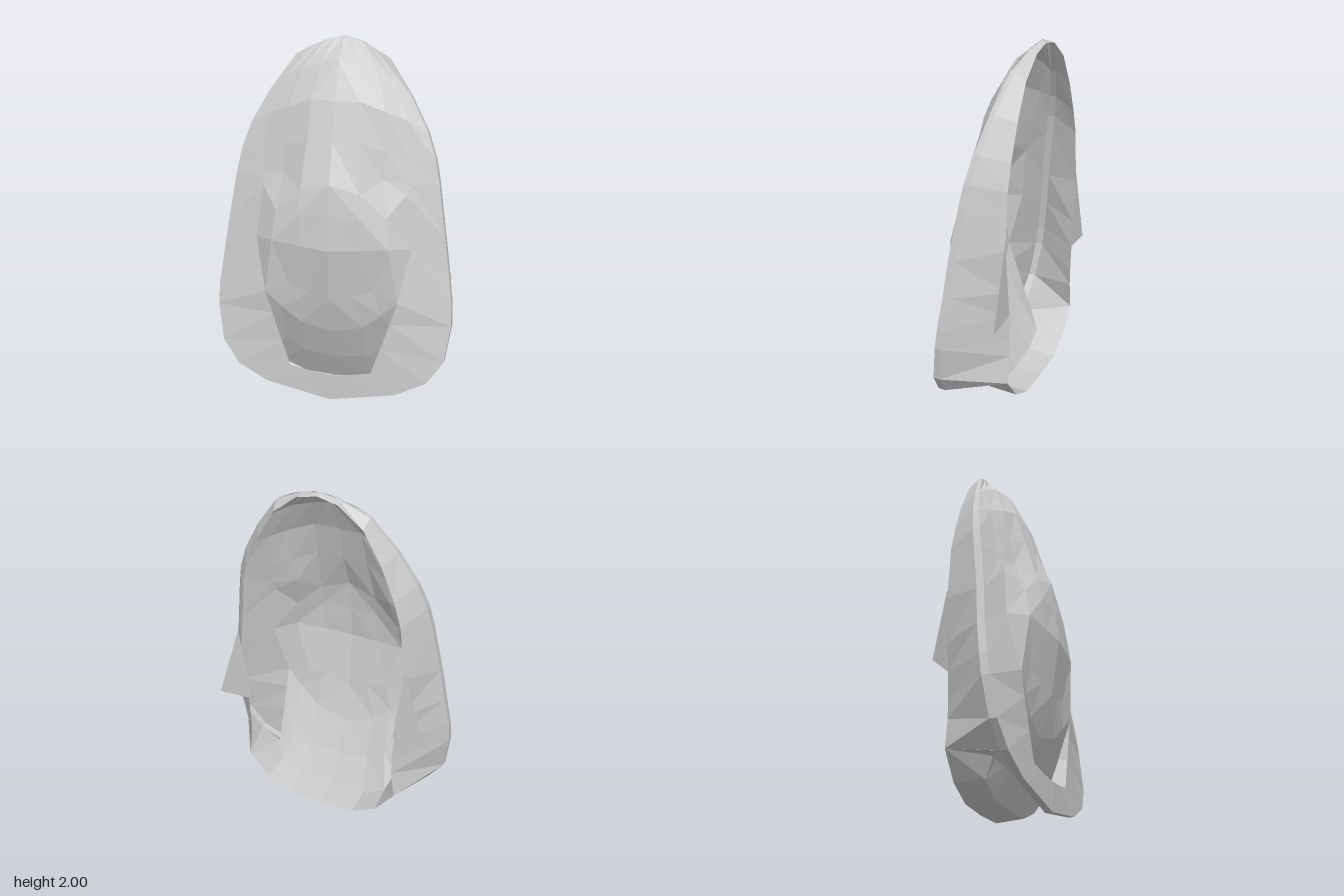
import * as THREE from 'three';

// Builds a mirrored sheet from cross-sections; each row lists x, y, z points of the +x half.
function sheet(rows) {
  const pos = [];
  const tri = (a, b, c) => {
    const [A, B, C] = [a, b, c].map(p => new THREE.Vector3(...p));
    if (B.clone().sub(A).cross(C.clone().sub(A)).length() < 1e-6) return;
    pos.push(...a, ...b, ...c);
    const m = p => [-p[0], p[1], p[2]];
    pos.push(...m(a), ...m(c), ...m(b));
  };
  for (let i = 0; i < rows.length - 1; i++) {
    for (let j = 0; j < rows[i].length - 1; j++) {
      const a = rows[i][j], b = rows[i + 1][j], c = rows[i + 1][j + 1], d = rows[i][j + 1];
      tri(a, b, c);
      tri(a, c, d);
    }
  }
  const g = new THREE.BufferGeometry();
  g.setAttribute('position', new THREE.Float32BufferAttribute(pos, 3));
  g.computeVertexNormals();
  return g;
}

export function createModel() {
  const group = new THREE.Group();
  const grey = new THREE.MeshStandardMaterial({ color: 0xcccccc, flatShading: true, side: THREE.DoubleSide });
  grey.name = 'plain grey';
  const add = (name, rows) => {
    const mesh = new THREE.Mesh(sheet(rows), grey);
    mesh.name = name;
    group.add(mesh);
  };

  // Forehead, cheeks and muzzle, from the crown down to the lip
  const lip = [[0, 0.62, 0.17], [0.12, 0.65, 0.16], [0.24, 0.69, 0.15], [0.37, 0.63, 0.15]];
  add('face', [
    [[0, 2, -0.19], [0.05, 1.99, -0.18], [0.1, 1.975, -0.17], [0.17, 1.945, -0.155], [0.25, 1.9, -0.14]],
    [[0, 1.89, -0.06], [0.1, 1.87, -0.07], [0.2, 1.84, -0.08], [0.29, 1.79, -0.09], [0.38, 1.72, -0.09]],
    [[0, 1.7, 0.03], [0.13, 1.7, 0.02], [0.26, 1.65, 0], [0.37, 1.6, -0.03], [0.48, 1.54, -0.05]],
    [[0, 1.5, 0.09], [0.14, 1.5, 0.08], [0.27, 1.45, 0.04], [0.4, 1.4, 0.01], [0.53, 1.4, -0.02]],
    [[0, 1.29, 0.18], [0.16, 1.24, 0.16], [0.27, 1.3, 0.07], [0.41, 1.27, 0.04], [0.555, 1.28, 0]],
    [[0, 1.12, 0.2], [0.16, 1.12, 0.19], [0.3, 1.11, 0.14], [0.39, 1.22, 0.06], [0.6, 1, 0.04]],
    [[0, 0.93, 0.22], [0.16, 0.94, 0.2], [0.32, 0.95, 0.175], [0.43, 0.93, 0.09], [0.63, 0.8, 0.06]],
    [...lip, [0.655, 0.62, 0.085]],
  ]);

  // Frame around the mouth opening
  add('jawFrame', [
    [[0.37, 0.63, 0.15], [0.655, 0.62, 0.085]],
    [[0.33, 0.5, 0.15], [0.66, 0.5, 0.1]],
    [[0.28, 0.34, 0.155], [0.63, 0.29, 0.13]],
    [[0.23, 0.19, 0.16], [0.54, 0.16, 0.15]],
    [[0.12, 0.17, 0.165], [0.37, 0.07, 0.16]],
    [[0, 0.16, 0.17], [0, 0, 0.17]],
  ]);

  // Recessed chin that runs back under the lip and ends in a floor
  add('chin', [
    lip,
    [[0, 0.4, 0.11], [0.18, 0.45, 0.12], [0.28, 0.54, 0.135], [0.37, 0.63, 0.15]],
    [[0, 0.2, 0.03], [0.18, 0.23, 0.035], [0.29, 0.3, 0.04], [0.37, 0.36, 0.06]],
    [[0, 0.025, -0.06], [0.2, 0.04, -0.06], [0.33, 0.1, -0.055], [0.37, 0.2, 0]],
    [[0, 0.02, -0.22], [0.2, 0.03, -0.22], [0.34, 0.1, -0.22], [0.45, 0.24, -0.22]],
  ]);

  // Side walls: front edge, bevel edge and back rim at each station
  const edge = [
    [0, 2, -0.19], [0.1, 1.975, -0.17], [0.25, 1.9, -0.14], [0.38, 1.72, -0.09], [0.48, 1.54, -0.05],
    [0.53, 1.4, -0.02], [0.555, 1.28, 0], [0.6, 1, 0.04], [0.63, 0.8, 0.06], [0.655, 0.62, 0.085],
    [0.66, 0.5, 0.1], [0.63, 0.29, 0.13], [0.54, 0.16, 0.15],
  ];
  const rim = [
    [0, 1.99], [0.11, 1.965], [0.24, 1.86], [0.34, 1.68], [0.41, 1.5], [0.45, 1.36], [0.46, 1.25],
    [0.48, 1.05], [0.46, 0.8], [0.44, 0.65], [0.43, 0.5], [0.43, 0.4], [0.45, 0.24],
  ];
  add('sideWall', edge.map(([x, y, z], i) => [
    [x, y, z],
    [x * 1.004, y, z - Math.min(0.04, 0.01 + i * 0.006)],
    [...rim[i], -0.22],
  ]));

  // Underside of the jaw frame
  add('jawUnderside', [
    [[0.54, 0.16, 0.15], [0.54, 0.16, 0.11]],
    [[0.37, 0.07, 0.16], [0.37, 0.07, 0.125]],
    [[0, 0, 0.17], [0, 0, 0.13]],
  ]);

  // Gusset joining jaw, side wall and chin floor
  add('jawGusset', [
    [[0.54, 0.16, 0.11], [0.45, 0.24, -0.22]],
    [[0.37, 0.07, 0.125], [0.37, 0.2, 0]],
  ]);

  // Flat triangular fins on the back rim
  add('fin', [
    [[0.48, 1.1, -0.22], [0.48, 1.1, -0.22]],
    [[0.43, 0.65, -0.22], [0.62, 0.64, -0.22]],
  ]);

  return group;
}
